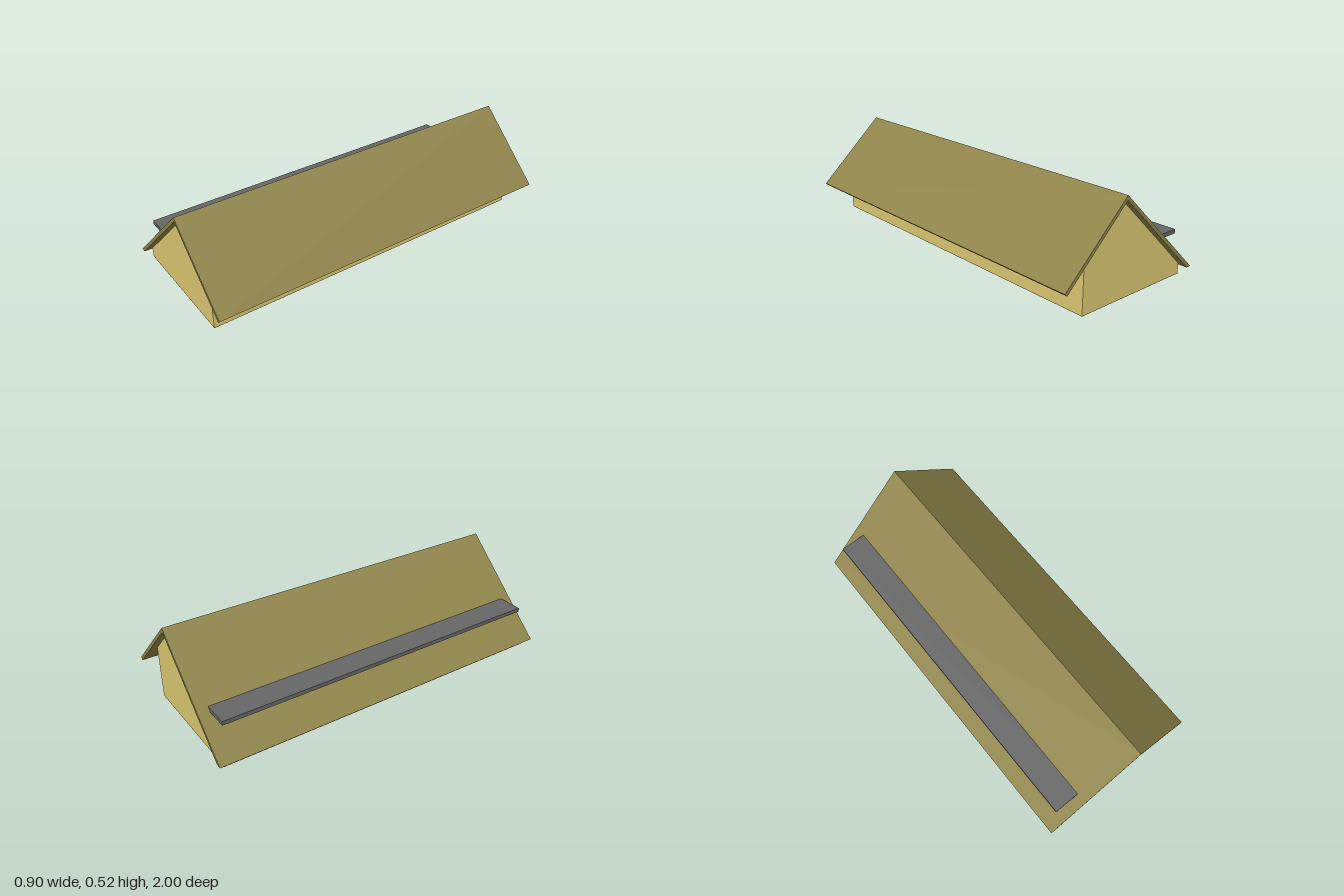
import * as THREE from 'three';

const material = (color) => new THREE.MeshStandardMaterial({ color, flatShading: true });

// Extrudes an x/y outline along z, centred on z = 0
function prism(name, points, length, mat) {
  const shape = new THREE.Shape(points.map(([x, y]) => new THREE.Vector2(x, y)));
  const geometry = new THREE.ExtrudeGeometry(shape, { depth: length, bevelEnabled: false });
  geometry.translate(0, 0, -length / 2);
  const mesh = new THREE.Mesh(geometry, mat);
  mesh.name = name;
  return mesh;
}

export function createModel() {
  const group = new THREE.Group();
  group.name = 'gabledRoof';
  const wallMat = material(0xdbc872);
  const roofMat = material(0x8f844a);
  const greyMat = material(0x666666);

  const wallLength = 1.92;
  const left = -0.405, right = 0.291, floorTop = 0.002;

  // Gable body with a low knee on one side and a tall wall on the other
  group.add(prism('gableWalls', [
    [left, floorTop], [right, floorTop], [right, 0.294], [0.07, 0.501], [left, 0.055],
  ], wallLength, wallMat));

  // Thin dark underside
  group.add(prism('floor', [
    [left, 0], [right, 0], [right, floorTop], [left, floorTop],
  ], wallLength, greyMat));

  // Asymmetric roof shell: long slope cut level at the eave, short slope cut square
  group.add(prism('roof', [
    [-0.449, 0.041], [-0.42, 0.041], [0.07, 0.501], [0.434, 0.159],
    [0.448, 0.172], [0.07, 0.525],
  ], 2, roofMat));

  // Flat ledge standing out from the long slope
  group.add(prism('ledge', [
    [-0.383, 0.213], [-0.25, 0.213], [-0.23, 0.235], [-0.383, 0.235],
  ], 1.88, greyMat));

  return group;
}
